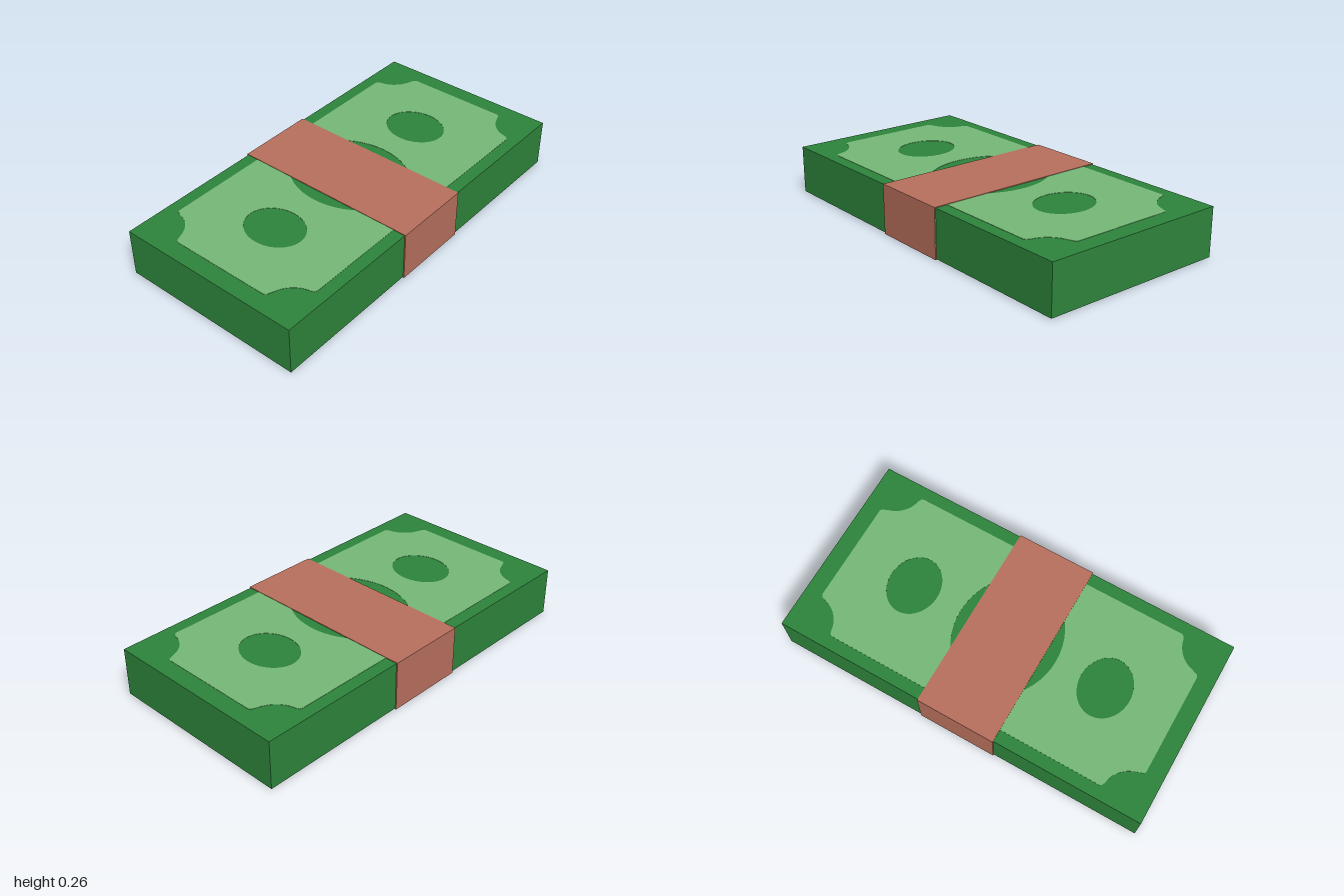
import * as THREE from 'three';

const paint = (name, color) => {
  const m = new THREE.MeshStandardMaterial({ color });
  m.name = name;
  return m;
};

const HALF_W = 0.5, HALF_L = 1, BOTTOM = 0.004, TOP = 0.258;
const PRINT = 0.0015; // thickness of the printed panels

function rectangle(PathType, x0, y0, x1, y1) {
  return new PathType([[x0, y0], [x1, y0], [x1, y1], [x0, y1]].map(p => new THREE.Vector2(...p)));
}

// Light panel with scooped corners and oval openings that show the note beneath
function panelGeometry() {
  const w = 0.435, l = 0.91, r = 0.147;
  // One corner: soft lip, concave scoop, soft lip
  const corner = [[w, l - r - 0.018], [w - 0.006, l - r - 0.006], [w - 0.022, l - r + 0.002]];
  for (let i = 1; i < 12; i++) {
    const a = 0.16 + (i / 12) * (Math.PI / 2 - 0.32);
    corner.push([w - r * Math.sin(a), l - r * Math.cos(a)]);
  }
  corner.push([w - r - 0.002, l - 0.022], [w - r - 0.006, l - 0.008], [w - r - 0.018, l]);

  const outline = [];
  for (const [sx, sy] of [[1, 1], [-1, 1], [-1, -1], [1, -1]]) {
    const pts = corner.map(([x, y]) => new THREE.Vector2(x * sx, y * sy));
    outline.push(...(sx * sy > 0 ? pts : pts.reverse()));
  }
  const shape = new THREE.Shape(outline);

  // Ovals: two small ones and a large one under the band
  for (const [z, rx, rz] of [[-0.536, 0.16, 0.133], [0.548, 0.16, 0.133], [0.005, 0.32, 0.27]]) {
    const hole = new THREE.Path();
    hole.absellipse(0, -z, rx, rz, 0, Math.PI * 2, true);
    shape.holes.push(hole);
  }
  const geometry = new THREE.ExtrudeGeometry(shape, { depth: PRINT, bevelEnabled: false, curveSegments: 24 });
  return geometry.rotateX(-Math.PI / 2);
}

export function createModel() {
  const model = new THREE.Group();
  model.name = 'banknoteBundle';
  const darkGreen = paint('dark green', 0x2e853c);
  const lightGreen = paint('light green', 0x75b977);
  const bandRed = paint('band red', 0xb8705d);

  const add = (name, geometry, material) => {
    const mesh = new THREE.Mesh(geometry, material);
    mesh.name = name;
    model.add(mesh);
    return mesh;
  };

  // Block of notes
  const stack = add('noteStack', new THREE.BoxGeometry(HALF_W * 2, TOP - BOTTOM, HALF_L * 2), darkGreen);
  stack.position.y = (TOP + BOTTOM) / 2;

  // Printed panels on both faces
  const panel = panelGeometry();
  add('topPanel', panel, lightGreen).position.y = TOP;
  const under = add('bottomPanel', panel, lightGreen);
  under.rotation.z = Math.PI;
  under.position.y = BOTTOM;

  // Paper band: a sleeve wrapped around the middle
  const sleeve = rectangle(THREE.Shape, -0.506, 0, 0.506, 0.262);
  sleeve.holes.push(rectangle(THREE.Path, -HALF_W, BOTTOM, HALF_W, TOP));
  const band = new THREE.ExtrudeGeometry(sleeve, { depth: 0.42, bevelEnabled: false });
  add('paperBand', band.translate(0, 0, -0.21), bandRed);

  return model;
}
